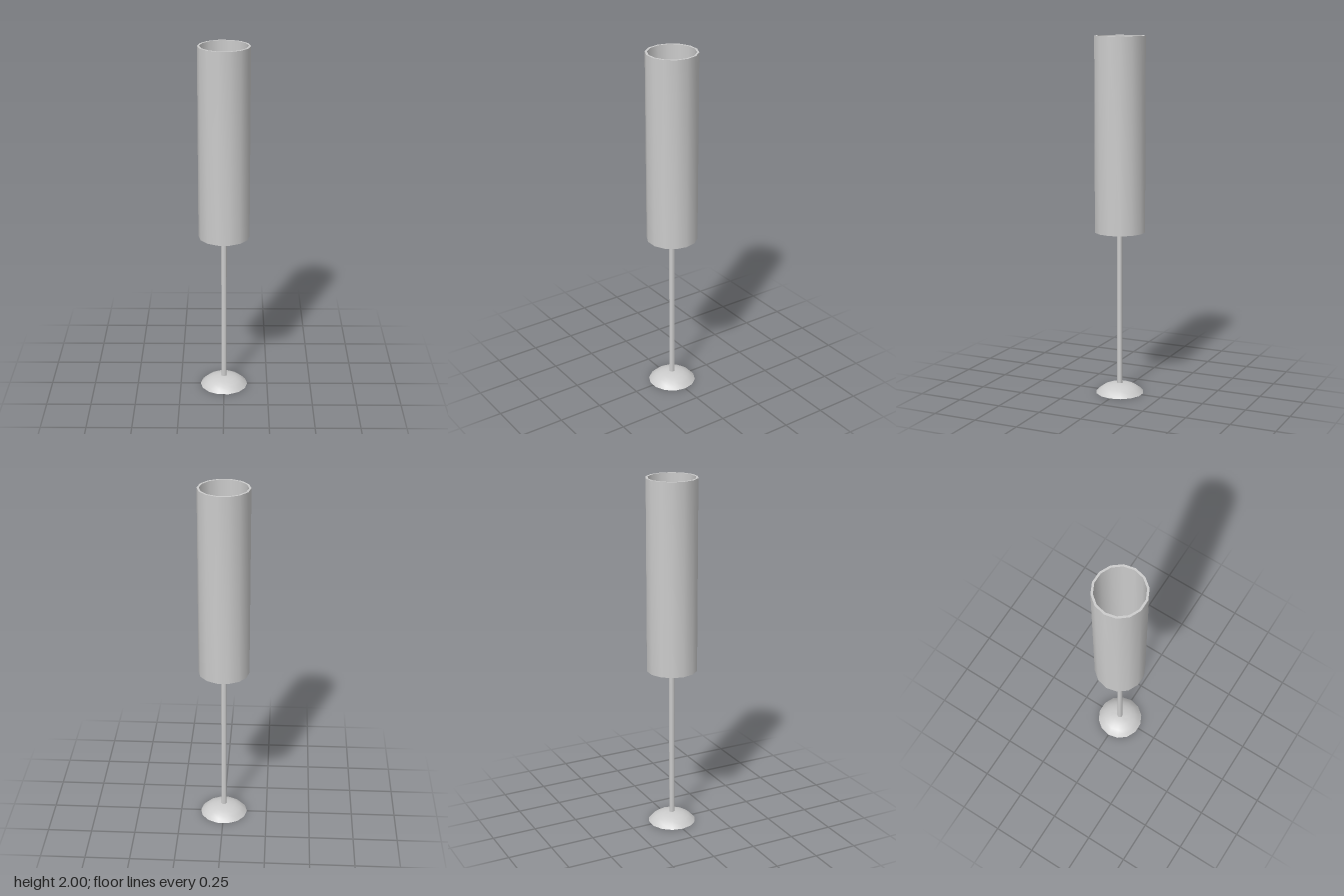
import * as THREE from 'three';
import { toCreasedNormals } from 'three/addons/utils/BufferGeometryUtils.js';

const SIDES = 14;
const material = new THREE.MeshStandardMaterial({ color: 0xcccccc });

// Revolve a profile of [radius, height] pairs, listed from bottom to top on the outside
function turned(name, profile, crease = 0.6) {
  const points = profile.map(([r, y]) => new THREE.Vector2(r, y));
  const lathe = new THREE.LatheGeometry(points, SIDES, Math.PI / 2);
  const mesh = new THREE.Mesh(toCreasedNormals(lathe, crease), material);
  mesh.name = name;
  return mesh;
}

export function createModel() {
  const lamp = new THREE.Group();
  lamp.name = 'floorLamp';

  // Low domed foot with a flat underside
  lamp.add(turned('base', [
    [0, 0], [0.135, 0], [0.118, 0.018], [0.096, 0.034], [0.068, 0.046], [0.036, 0.053], [0, 0.055],
  ]));

  // Slim pole ending in a small pointed cap inside the shade
  lamp.add(turned('pole', [[0, 0.04], [0.0155, 0.04], [0.0155, 1.4], [0, 1.412]]));

  // Tall open tube with wall thickness: outer wall, top rim, inner wall, bottom rim
  lamp.add(turned('shade', [
    [0.13, 0.925], [0.142, 0.925], [0.142, 2], [0.13, 2], [0.13, 0.925],
  ]));

  return lamp;
}
